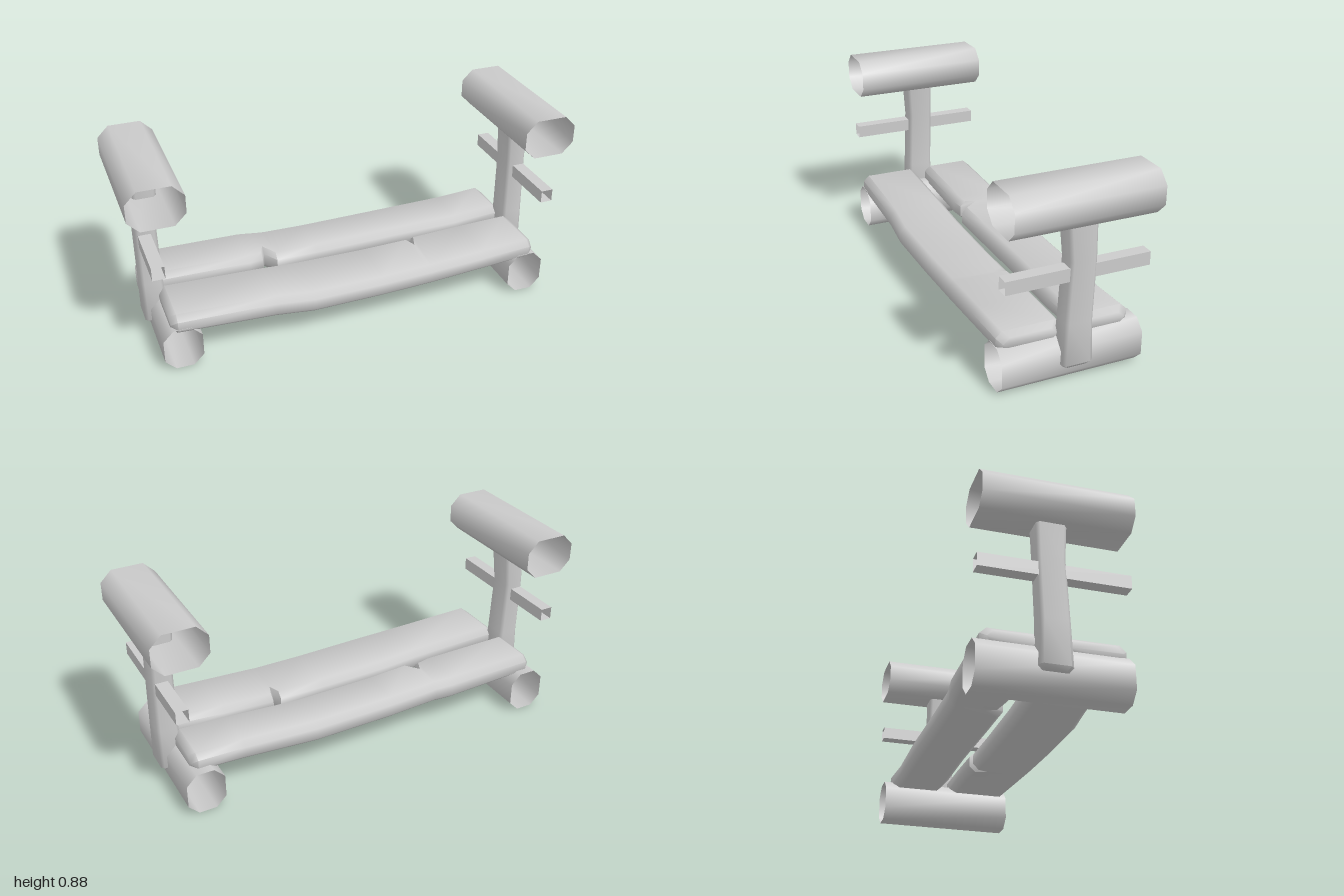
import * as THREE from 'three';
import { toCreasedNormals } from 'three/addons/utils/BufferGeometryUtils.js';

const solid = new THREE.MeshStandardMaterial({ color: 0xcccccc });
const open = new THREE.MeshStandardMaterial({ color: 0xcccccc, side: THREE.DoubleSide });

// Chamfered rectangle, counter-clockwise in (u, v)
function octagon(u0, u1, v0, v1, c, d) {
  return [[u0 + c, v0], [u1 - c, v0], [u1, v0 + d], [u1, v1 - d],
    [u1 - c, v1], [u0 + c, v1], [u0, v1 - d], [u0, v0 + d]];
}

// Skin through rings of 3D points, with optional end caps
function loft(rings, capped) {
  const n = rings[0].length, index = [];
  for (let i = 0; i < rings.length - 1; i++) {
    for (let j = 0; j < n; j++) {
      const a = i * n + j, b = i * n + (j + 1) % n;
      index.push(a, b, a + n, b, b + n, a + n);
    }
  }
  if (capped) {
    const e = (rings.length - 1) * n;
    for (let j = 1; j < n - 1; j++) index.push(0, j + 1, j, e, e + j, e + j + 1);
  }
  const geo = new THREE.BufferGeometry();
  geo.setAttribute('position', new THREE.Float32BufferAttribute(rings.flat(2), 3));
  geo.setIndex(index);
  return toCreasedNormals(geo, 1.0);
}

function add(parent, name, geo, material) {
  const mesh = new THREE.Mesh(geo, material);
  mesh.name = name;
  parent.add(mesh);
}

// Open-ended tube running front to back
function beam(cx, w, y0, y1, c) {
  const ring = octagon(cx - w / 2, cx + w / 2, y0, y1, c, c);
  return loft([-0.32, 0.305].map(z => ring.map(([x, y]) => [x, y, z])), false);
}

function squareTube(cx, w, y0, y1) {
  const ring = [[cx - w / 2, y0], [cx + w / 2, y0], [cx + w / 2, y1], [cx - w / 2, y1]];
  return loft([-0.32, 0.305].map(z => ring.map(([x, y]) => [x, y, z])), false);
}

// Slightly crooked upright: [y, zBack, zFront, xInner, xOuter]
function post(s) {
  const rows = [
    [0.075, -0.065, 0.038, 0.848, 0.918],
    [0.093, -0.082, 0.053, 0.83, 0.934],
    [0.28, -0.074, 0.046, 0.838, 0.934],
    [0.55, -0.082, 0.034, 0.842, 0.934],
    [0.70, -0.082, 0.044, 0.83, 0.93],
    [0.79, -0.08, 0.044, 0.826, 0.928]];
  return loft(rows.map(([y, z0, z1, xi, xo]) => {
    const x0 = s > 0 ? xi : -xo, x1 = s > 0 ? xo : -xi;
    return octagon(z0, z1, x0, x1, 0.013, 0.013).map(([z, x]) => [x, y, z]);
  }), true);
}

// Sagging seat board with bevelled ends: [x, yBottom, yTop, zBack, zFront]
function plank(rows) {
  return loft(rows.map(([x, y0, y1, z0, z1]) =>
    octagon(y0, y1, z0, z1, 0.026, 0.028).map(([y, z]) => [x, y, z])), true);
}

export function createModel() {
  const model = new THREE.Group();
  model.name = 'bench';

  for (const s of [-1, 1]) {
    const side = new THREE.Group();
    side.name = s > 0 ? 'leftEnd' : 'rightEnd';
    add(side, 'armrest', beam(s * 0.88, 0.24, 0.705, 0.885, 0.05), open);
    add(side, 'foot', beam(s * 0.822, 0.17, 0, 0.195, 0.046), open);
    add(side, 'rail', squareTube(s * 0.897, 0.055, 0.467, 0.525), open);
    add(side, 'post', post(s), solid);
    model.add(side);
  }

  // Front board, split near its left end on the inner edge
  add(model, 'frontPlank', plank([
    [-0.865, 0.182, 0.238, 0.045, 0.28],
    [-0.838, 0.163, 0.258, 0.02, 0.303],
    [-0.40, 0.143, 0.246, 0.022, 0.305],
    [-0.23, 0.132, 0.235, 0.02, 0.317],
    [0.10, 0.13, 0.231, 0.017, 0.31],
    [0.32, 0.133, 0.234, 0.015, 0.304],
    [0.34, 0.134, 0.234, 0.068, 0.304],
    [0.36, 0.135, 0.236, 0.008, 0.304],
    [0.60, 0.15, 0.247, 0.01, 0.303],
    [0.835, 0.165, 0.258, 0.018, 0.302],
    [0.862, 0.185, 0.238, 0.045, 0.28]]), solid);

  // Back board, split near its right end on the inner edge
  add(model, 'backPlank', plank([
    [-0.862, 0.185, 0.238, -0.262, -0.06],
    [-0.835, 0.165, 0.259, -0.285, -0.036],
    [-0.42, 0.147, 0.253, -0.284, -0.035],
    [-0.36, 0.145, 0.25, -0.277, -0.045],
    [-0.34, 0.144, 0.249, -0.273, -0.092],
    [-0.295, 0.142, 0.245, -0.273, -0.027],
    [-0.10, 0.135, 0.239, -0.277, -0.035],
    [0.28, 0.135, 0.239, -0.284, -0.044],
    [0.62, 0.152, 0.25, -0.274, -0.03],
    [0.835, 0.165, 0.259, -0.28, -0.033],
    [0.862, 0.185, 0.238, -0.258, -0.058]]), solid);

  return model;
}
